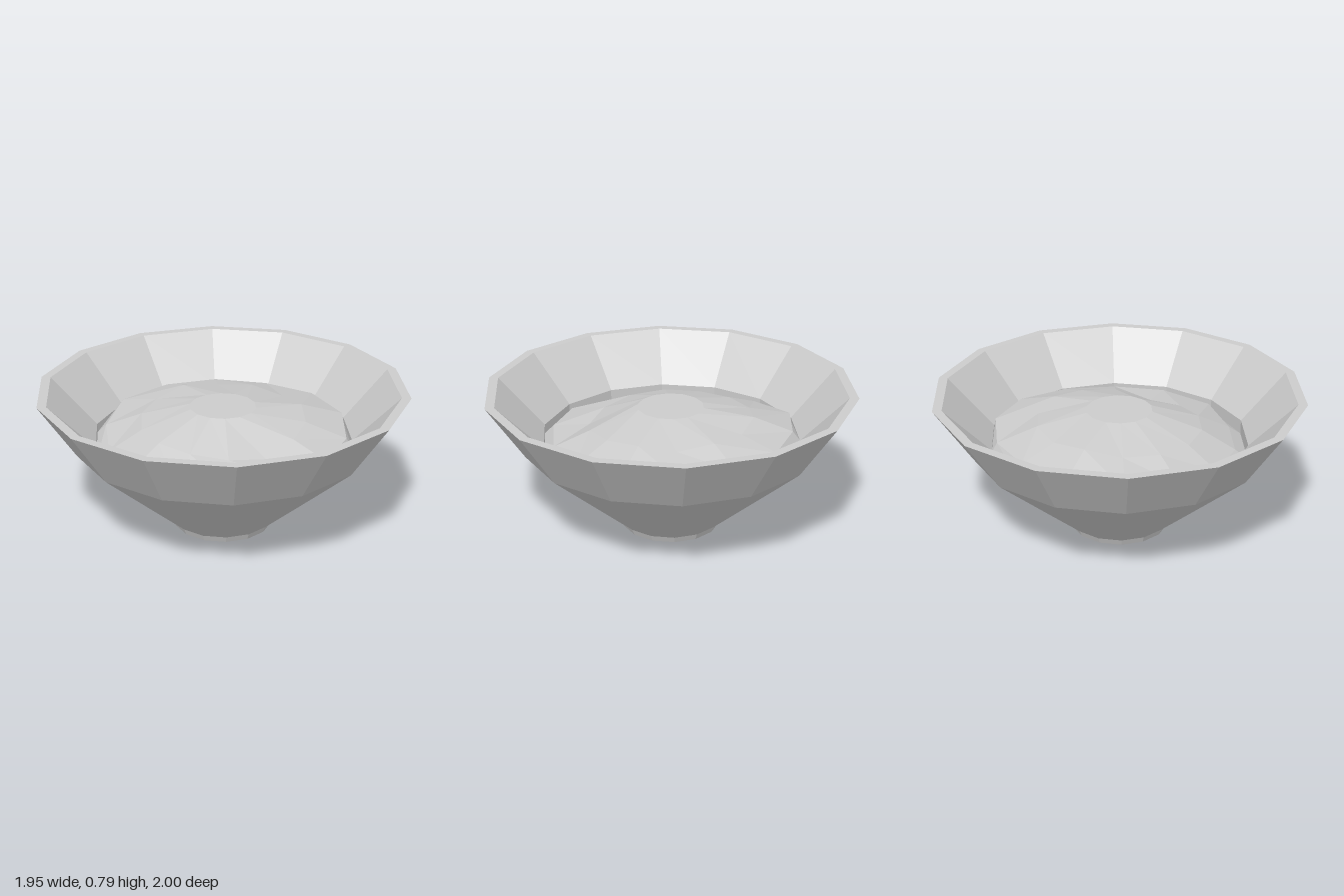
import * as THREE from 'three';

const SIDES = 14;
const makeMaterial = () => new THREE.MeshStandardMaterial({
  color: 0xcccccc, flatShading: true, side: THREE.DoubleSide,
});

function lathe(name, profile) {
  const points = profile.map(([r, y]) => new THREE.Vector2(r, y));
  const mesh = new THREE.Mesh(new THREE.LatheGeometry(points, SIDES), makeMaterial());
  mesh.name = name;
  return mesh;
}

// Irregular heap: height and radius per side, starting at the front and turning to +x
const crestY = [0.50, 0.50, 0.51, 0.53, 0.53, 0.54, 0.56, 0.57, 0.57, 0.58, 0.58, 0.56, 0.53, 0.50];
const crestR = [0.63, 0.63, 0.68, 0.65, 0.65, 0.67, 0.69, 0.69, 0.67, 0.66, 0.66, 0.69, 0.65, 0.63];
const middleY = [0.60, 0.59, 0.57, 0.55, 0.60, 0.62, 0.64, 0.62, 0.64, 0.63, 0.65, 0.62, 0.61, 0.60];

function makeContents() {
  // Rings: outer edge, crest, middle, flat top, centre
  const mesh = lathe('contents', [[0.70, 0.47], [0.65, 0.55], [0.45, 0.61], [0.18, 0.685], [0, 0.685]]);
  const pos = mesh.geometry.attributes.position;
  for (let i = 0; i <= SIDES; i++) {
    const side = i % SIDES;
    const angle = (side / SIDES) * Math.PI * 2;
    const set = (ring, r, y) => pos.setXYZ(i * 5 + ring, r * Math.sin(angle), y, r * Math.cos(angle));
    set(0, 0.70, crestY[side] - 0.05);
    set(1, crestR[side], crestY[side]);
    set(2, 0.45, middleY[side]);
  }
  mesh.geometry.computeVertexNormals();
  return mesh;
}

export function createModel() {
  const group = new THREE.Group();
  group.name = 'filledBowl';

  // Foot, flared outer wall, rim and inner wall in one profile
  group.add(lathe('bowl', [
    [0, 0], [0.27, 0], [0.285, 0.035], [0.45, 0.18], [0.80, 0.49], [1, 0.79],
    [0.95, 0.79], [0.70, 0.53], [0.70, 0.42],
  ]));

  group.add(makeContents());
  return group;
}
